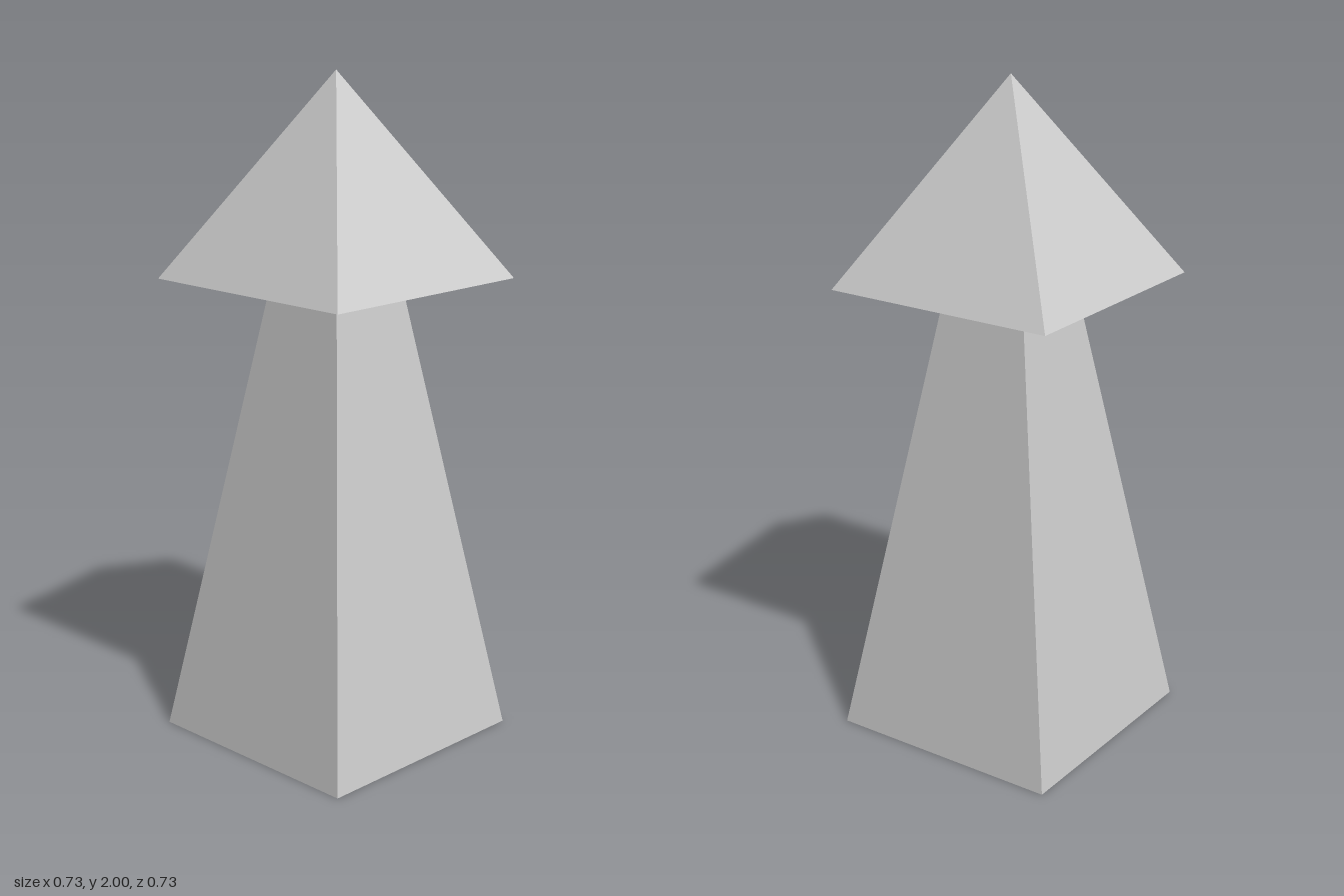
import * as THREE from 'three';

const BASE = 0.367;  // half width of the base and of the roof
const NECK = 0.133;  // half width of the shaft where it meets the roof
const EAVES = 1.4;
const TOP = 2;

// Square tapered block between two heights, given by its half widths
function taperedBlock(name, halfTop, halfBottom, y0, y1, material) {
  const geometry = new THREE.CylinderGeometry(
    halfTop * Math.SQRT2, halfBottom * Math.SQRT2, y1 - y0, 4);
  geometry.rotateY(Math.PI / 4);
  geometry.translate(0, (y0 + y1) / 2, 0);
  const mesh = new THREE.Mesh(geometry, material);
  mesh.name = name;
  return mesh;
}

export function createModel() {
  const group = new THREE.Group();
  group.name = 'tower';
  const material = new THREE.MeshStandardMaterial({ color: 0xcccccc, flatShading: true });

  // Tapering shaft
  group.add(taperedBlock('shaft', NECK, BASE, 0, EAVES, material));
  // Overhanging pyramid roof
  group.add(taperedBlock('roof', 0, BASE, EAVES, TOP, material));

  return group;
}
